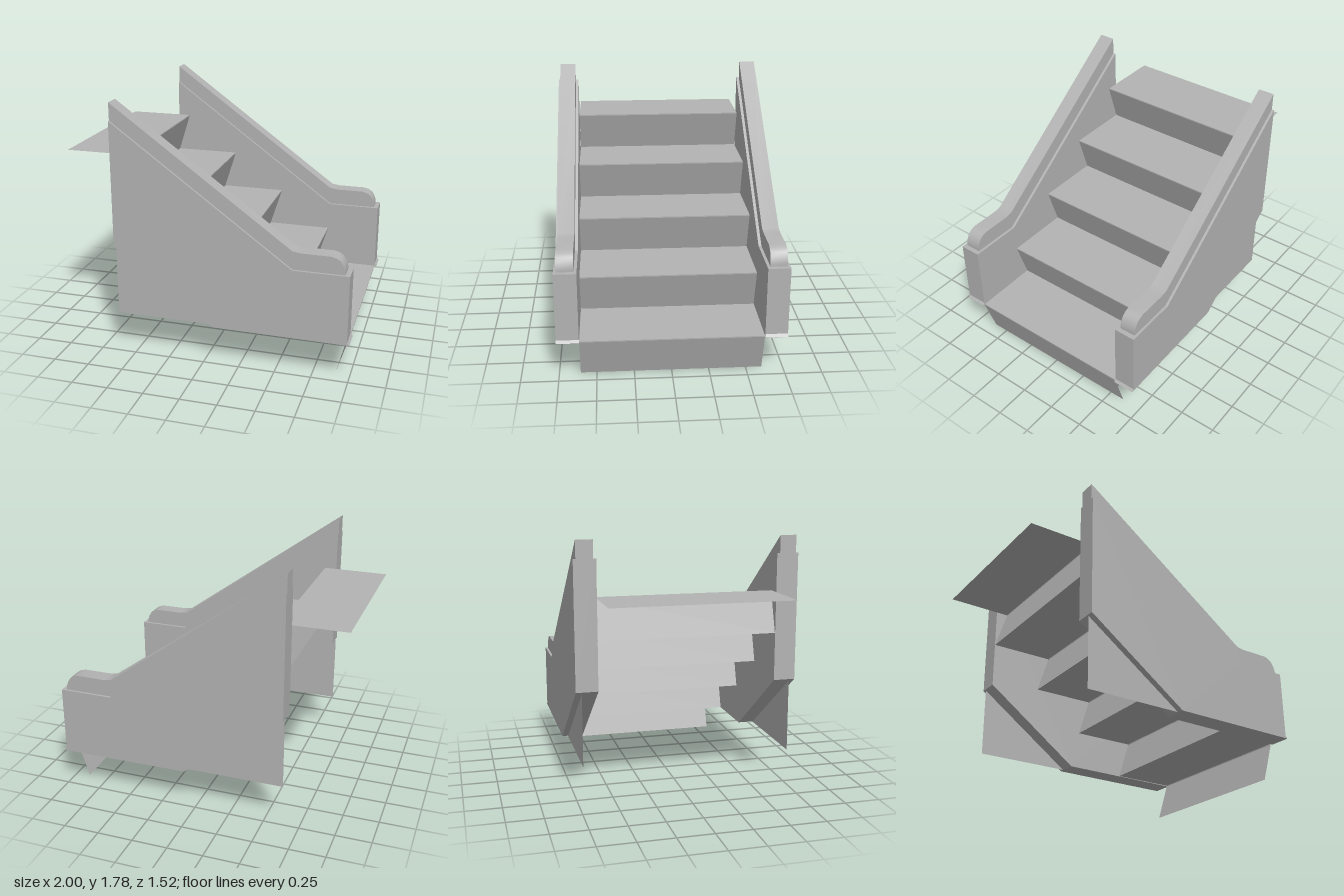
import * as THREE from 'three';
import { toCreasedNormals } from 'three/addons/utils/BufferGeometryUtils.js';

const stone = new THREE.MeshStandardMaterial({ color: 0xb3b3b3 });
stone.name = 'grey stone';
const stoneSheet = new THREE.MeshStandardMaterial({ color: 0xb3b3b3, side: THREE.DoubleSide });
stoneSheet.name = 'grey stone sheet';

const shapeOf = (points) => new THREE.Shape(points.map(([x, y]) => new THREE.Vector2(x, y)));

// Solid slab with an x-y outline, between two z values
function slab(name, points, z0, z1) {
  const geo = new THREE.ExtrudeGeometry(shapeOf(points), { depth: z1 - z0, bevelEnabled: false });
  geo.translate(0, 0, z0);
  const mesh = new THREE.Mesh(toCreasedNormals(geo, 0.6), stone);
  mesh.name = name;
  return mesh;
}

// Sheet spanning the stair width between two profile points
function strip(name, [x0, y0], [x1, y1], halfWidth) {
  const w = halfWidth;
  const geo = new THREE.BufferGeometry();
  geo.setAttribute('position', new THREE.Float32BufferAttribute(
    [x0, y0, w, x0, y0, -w, x1, y1, -w, x1, y1, w], 3));
  geo.setIndex([0, 1, 2, 0, 2, 3]);
  geo.computeVertexNormals();
  const mesh = new THREE.Mesh(geo, stoneSheet);
  mesh.name = name;
  return mesh;
}

export function createModel() {
  const model = new THREE.Group();
  model.name = 'staircase';

  // Steps: leaning risers, small nosing lips and flat treads
  const steps = new THREE.Group();
  steps.name = 'steps';
  const count = 5, rise = 0.28, run = 0.381, lean = 0.085, lip = 0.008, half = 0.608;
  for (let i = 0; i < count; i++) {
    const x = 0.985 - i * run;
    const y = (i + 1) * rise;
    const back = i === count - 1 ? -1 : x - run - lean;
    steps.add(
      strip('riser', [x - lean, y - rise], [x, y - lip], half),
      strip('nosing', [x, y - lip], [x, y], half),
      strip('tread', [x, y], [back, y], half),
    );
  }
  model.add(steps);

  // Side wall with a slanted cut at the lower back and a small toe in front
  const wall = [
    [0.075, 0.28], [1, 0.275], [0.985, 0.292], [0.985, 0.76],
    [0.61, 0.76], [-0.625, 1.66], [-0.625, 0.79],
  ];
  // Recessed plate filling the slanted cut
  const infill = [[-0.625, 0.28], [0.067, 0.28], [-0.625, 0.78]];
  // Handrail with a rounded lower end
  const rail = [
    [-0.625, 1.66], [0.61, 0.76], [0.952, 0.76], [0.952, 0.785], [0.94, 0.82],
    [0.922, 0.85], [0.895, 0.868], [0.86, 0.878], [0.66, 0.878], [0.605, 0.887], [-0.625, 1.78],
  ];

  for (const side of [1, -1]) {
    const group = new THREE.Group();
    group.name = side > 0 ? 'frontBalustrade' : 'backBalustrade';
    const span = (a, b) => (side > 0 ? [a, b] : [-b, -a]);
    group.add(slab('sideWall', wall, ...span(0.61, 0.76)));
    group.add(slab('handrail', rail, ...span(0.63, 0.743)));
    const plate = new THREE.Mesh(new THREE.ShapeGeometry(shapeOf(infill)), stoneSheet);
    plate.name = 'infillPlate';
    plate.position.z = side * 0.72;
    group.add(plate);
    model.add(group);
  }
  return model;
}
